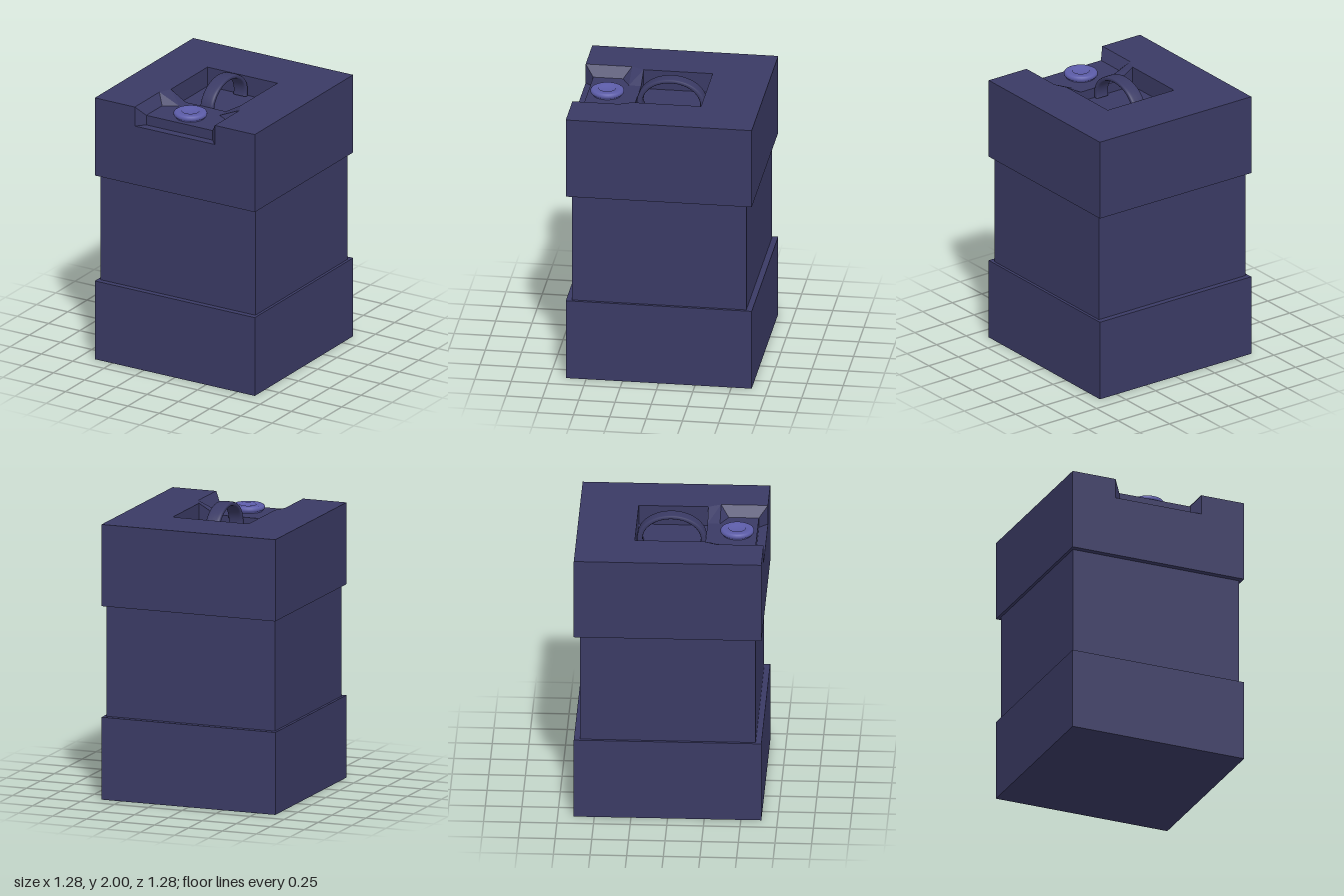
import * as THREE from 'three';

const bodyMat = new THREE.MeshStandardMaterial({ color: 0x3a3a64 });
const insertMat = new THREE.MeshStandardMaterial({ color: 0x3a3a64, side: THREE.DoubleSide });
const knobMat = new THREE.MeshStandardMaterial({ color: 0x5c5ca8 });

function add(parent, name, geometry, material = bodyMat) {
  const mesh = new THREE.Mesh(geometry, material);
  mesh.name = name;
  parent.add(mesh);
  return mesh;
}

function block(parent, name, w, d, y0, y1) {
  add(parent, name, new THREE.BoxGeometry(w, y1 - y0, d)).position.y = (y0 + y1) / 2;
}

// Flat-shaded surface from convex polygons, each a list of [x, y, z] corners
function panels(polygons) {
  const pos = [];
  for (const p of polygons)
    for (let i = 1; i < p.length - 1; i++) pos.push(...p[0], ...p[i], ...p[i + 1]);
  const g = new THREE.BufferGeometry();
  g.setAttribute('position', new THREE.Float32BufferAttribute(pos, 3));
  g.computeVertexNormals();
  return g;
}

export function createModel() {
  const model = new THREE.Group();
  model.name = 'canister';
  const TOP = 1.92, LOW = 1.78, MID = 1.85;

  // Stacked body
  block(model, 'base', 1.28, 1.28, 0, 0.575);
  block(model, 'middle', 1.24, 1.2, 0.575, 1.35);
  block(model, 'lid', 1.28, 1.28, 1.35, LOW);

  // Lid deck, cut away for the handle well and the front notch
  const half = [[0.32, 0.64], [0.32, 0.32], [0.28, 0.235], [0.28, -0.24]];
  const outline = [[-0.64, 0.64], [-0.64, -0.64], [0.64, -0.64], [0.64, 0.64],
    ...half, ...half.slice().reverse().map(([x, z]) => [-x, z])];
  const deckShape = new THREE.Shape(outline.map(([x, z]) => new THREE.Vector2(x, -z)));
  const deck = new THREE.ExtrudeGeometry(deckShape, { depth: TOP - LOW, bevelEnabled: false });
  deck.rotateX(-Math.PI / 2).translate(0, LOW, 0);
  add(model, 'deck', deck);

  // Notch: raised floor, front face and wall towards the handle well
  const faces = [
    [[-0.265, MID, 0.58], [0.265, MID, 0.58], [0.265, MID, 0.375], [-0.265, MID, 0.375]],
    [[-0.265, MID, 0.375], [0.265, MID, 0.375], [0.16, MID, 0.32], [-0.16, MID, 0.32]],
    [[-0.16, MID, 0.32], [0.16, MID, 0.32], [0.16, MID, 0.235], [-0.16, MID, 0.235]],
    [[-0.265, LOW, 0.58], [0.265, LOW, 0.58], [0.265, MID, 0.58], [-0.265, MID, 0.58]],
    [[0.28, LOW, 0.235], [-0.28, LOW, 0.235], [-0.16, MID, 0.235], [0.16, MID, 0.235]],
  ];
  // Sloped sides, mirrored
  const sides = [
    [[0.32, TOP, 0.64], [0.32, TOP, 0.32], [0.265, MID, 0.375], [0.265, MID, 0.58]],
    [[0.32, LOW, 0.64], [0.32, TOP, 0.64], [0.265, MID, 0.58], [0.265, LOW, 0.58]],
    [[0.32, TOP, 0.32], [0.16, MID, 0.32], [0.265, MID, 0.375]],
    [[0.32, TOP, 0.32], [0.28, TOP, 0.235], [0.16, MID, 0.235], [0.16, MID, 0.32]],
    [[0.28, LOW, 0.235], [0.16, MID, 0.235], [0.28, TOP, 0.235]],
  ];
  for (const f of sides) faces.push(f, f.map(([x, y, z]) => [-x, y, z]).reverse());
  add(model, 'notch', panels(faces), insertMat);

  // Arched carrying handle with a rounded band section
  const soft = (v) => Math.sign(v) * Math.sqrt(Math.abs(v));
  const section = [];
  for (let i = 0; i <= 24; i++) {
    const a = (i / 24) * Math.PI * 2;
    section.push(new THREE.Vector2(0.165 + 0.015 * soft(Math.cos(a)), 0.05 * soft(Math.sin(a))));
  }
  const arch = new THREE.LatheGeometry(section, 40, -0.22, Math.PI + 0.44);
  arch.rotateZ(Math.PI / 2).scale(1, 1, 1.32);
  add(model, 'handle', arch).position.y = 1.82;

  // Round valve knob with a waist and a dished top
  const profile = [[0.1, 0], [0.1, 0.008], [0.109, 0.011], [0.115, 0.019], [0.115, 0.031],
    [0.109, 0.04], [0.1, 0.045], [0.058, 0.045], [0.055, 0.033], [0, 0.033]];
  const knob = new THREE.LatheGeometry(profile.map(([r, y]) => new THREE.Vector2(r, y)), 32);
  add(model, 'knob', knob, knobMat).position.set(0.005, MID, 0.445);

  return model;
}
